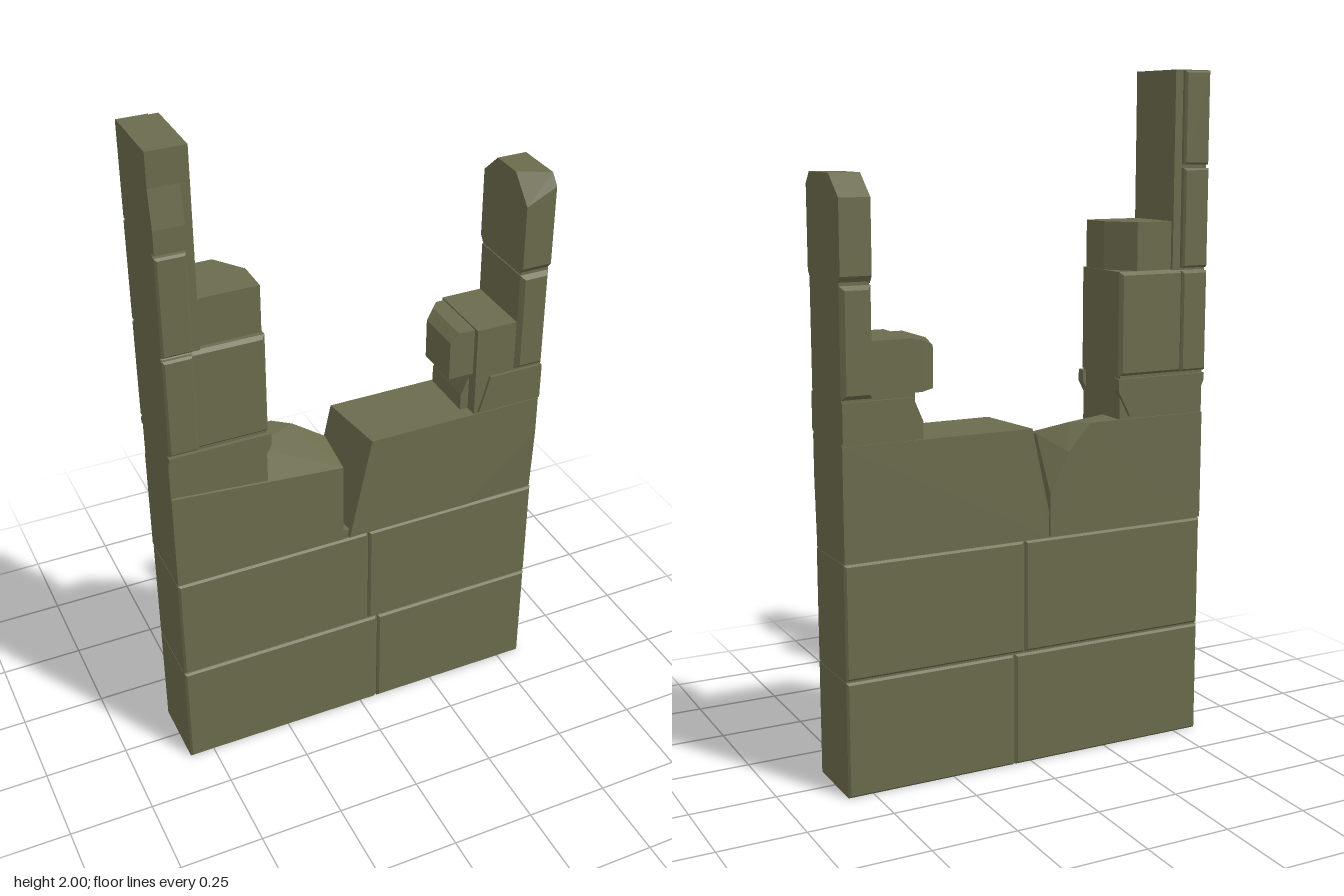
import * as THREE from 'three';
import { ConvexGeometry } from 'three/addons/geometries/ConvexGeometry.js';

export function createModel() {
  const group = new THREE.Group();
  const stone = new THREE.MeshStandardMaterial({ color: 0x6b6b4d });
  stone.name = 'mossy stone';

  const add = (name, geometry) => {
    const mesh = new THREE.Mesh(geometry, stone);
    mesh.name = name;
    group.add(mesh);
    return mesh;
  };
  // plain block given by its limits
  const box = (name, x0, x1, y0, y1, z0, z1) => {
    const mesh = add(name, new THREE.BoxGeometry(x1 - x0, y1 - y0, z1 - z0));
    mesh.position.set((x0 + x1) / 2, (y0 + y1) / 2, (z0 + z1) / 2);
  };
  // chipped stone: hull of a front outline, a back outline and extra corners
  const chip = (name, front, zf, back, zb, extra = []) => {
    const points = [
      ...front.map(([x, y]) => [x, y, zf]),
      ...back.map(([x, y]) => [x, y, zb]),
      ...extra,
    ].map((p) => new THREE.Vector3(...p));
    add(name, new ConvexGeometry(points));
  };
  // block with a thin worn rim on its front and back faces
  const slab = (name, x0, x1, y0, y1, z0, z1, r = 0.006) => {
    const rect = (i) => [[x0 + i, y0 + i], [x1 - i, y0 + i], [x1 - i, y1 - i], [x0 + i, y1 - i]];
    const rim = [z0 + r, z1 - r].flatMap((z) => rect(0).map(([x, y]) => [x, y, z]));
    chip(name, rect(r), z1, rect(r), z0, rim);
  };

  // lower courses around a recessed mortar core
  box('mortarCore', -0.574, 0.574, 0, 0.7, -0.1, 0.1);
  const courses = [[0, 0.336, 0.055], [0.342, 0.672, 0.022]];
  courses.forEach(([y0, y1, split], i) => {
    slab(`course${i + 1}RightStone`, -0.575, split - 0.003, y0, y1, -0.11, 0.11);
    slab(`course${i + 1}LeftStone`, split + 0.003, 0.575, y0, y1, -0.11, 0.11);
  });

  // broken sill stones with the V-shaped crack between them
  chip('brokenSillRight',
    [[-0.575, 0.677], [-0.06, 0.677], [-0.06, 0.935], [-0.575, 0.98]], 0.11,
    [[-0.575, 0.677], [-0.06, 0.677], [-0.06, 0.8], [-0.12, 0.92], [-0.19, 1], [-0.575, 1]], -0.11,
    [[-0.14, 1, -0.07], [-0.06, 0.965, -0.02], [-0.575, 1, 0.02], [-0.29, 1, -0.01]]);
  chip('brokenSillLeft',
    [[-0.04, 0.677], [0.35, 0.677], [0.575, 0.88], [0.575, 1], [0.03, 1]], 0.111,
    [[-0.055, 0.677], [0.575, 0.677], [0.575, 1], [-0.055, 0.75], [0, 1]], -0.111,
    [[0.575, 0.677, 0.1]]);

  // tall jamb
  box('rightJambFoot', -0.575, -0.29, 0.95, 1.13, -0.105, 0.105);
  const trim = [[-0.535, 1.008], [-0.32, 1.008], [-0.28, 1.085], [-0.28, 1.12], [-0.575, 1.12], [-0.575, 1.1]];
  chip('rightJambTrimFront', trim, 0.117, trim, 0.09);
  chip('rightJambTrimBack', trim, -0.09, trim, -0.117);
  slab('rightJambBlock', -0.575, -0.285, 1.126, 1.43, -0.113, 0.113, 0.01);
  box('rightJambColumn', -0.575, -0.465, 1.42, 2, -0.105, 0.105);
  for (const s of [1, -1]) {
    const side = s > 0 ? 'Front' : 'Back';
    const plate = (name, y0, y1) =>
      slab(name + side, -0.575, -0.49, y0, y1, s > 0 ? 0.09 : -0.123, s > 0 ? 0.123 : -0.09);
    plate('rightJambLowFacing', 1.13, 1.425);
    plate('rightJambMidFacing', 1.435, 1.722);
  }
  // upper facings, the front one broken off on a slope
  const rect = (y1) => [[-0.575, 1.732], [-0.49, 1.732], [-0.49, y1], [-0.575, y1]];
  chip('rightJambTopFacingFront', rect(1.8), 0.123, rect(1.91), 0.104);
  slab('rightJambTopFacingBack', -0.575, -0.49, 1.732, 1.998, -0.121, -0.09);
  // broken inner block with a cut back corner
  const inner = (x1) => [[-0.47, 1.425], [x1, 1.425], [x1, 1.57], [-0.47, 1.57]];
  chip('rightJambInnerBlock', inner(-0.288), 0.09, inner(-0.35), -0.095,
    [[-0.288, 1.425, -0.01], [-0.288, 1.57, -0.01]]);

  // short jamb
  const foot = [[0.335, 1], [0.575, 1], [0.575, 1.12], [0.365, 1.12], [0.335, 1.05]];
  chip('leftJambFoot', foot, 0.07, foot, -0.105);
  const footFacing = [[0.372, 1.008], [0.575, 1.008], [0.575, 1.12], [0.405, 1.12]];
  chip('leftJambFootFacingFront', footFacing, 0.117, footFacing, 0.06);
  const footBack = [[0.345, 1.008], [0.575, 1.008], [0.575, 1.12], [0.37, 1.12]];
  chip('leftJambFootFacingBack', footBack, -0.09, footBack, -0.117);
  box('leftJambBlock', 0.36, 0.5, 1, 1.28, -0.108, 0.108);
  box('leftJambColumn', 0.488, 0.575, 1, 1.66, -0.108, 0.108);
  slab('leftJambLowStone', 0.485, 0.575, 1.126, 1.43, -0.121, 0.121, 0.012);
  chip('leftJambTopStone',
    [[0.485, 1.455], [0.575, 1.455], [0.575, 1.69], [0.485, 1.645]], 0.121,
    [[0.485, 1.455], [0.575, 1.455], [0.575, 1.66], [0.485, 1.66]], -0.119,
    [[0.485, 1.722, 0.05], [0.575, 1.722, 0.095], [0.485, 1.722, -0.05], [0.575, 1.722, -0.05],
      [0.485, 1.435, 0.105], [0.575, 1.435, 0.105], [0.485, 1.435, -0.105], [0.575, 1.435, -0.105]]);
  // small broken stub reaching into the opening
  chip('leftJambStub',
    [[0.282, 1.13], [0.37, 1.13], [0.37, 1.275], [0.31, 1.275], [0.282, 1.25]], 0.09,
    [[0.335, 1.13], [0.37, 1.13], [0.37, 1.275], [0.335, 1.275]], -0.1,
    [[0.282, 1.13, -0.055], [0.282, 1.25, -0.055], [0.31, 1.275, -0.07]]);

  return group;
}
